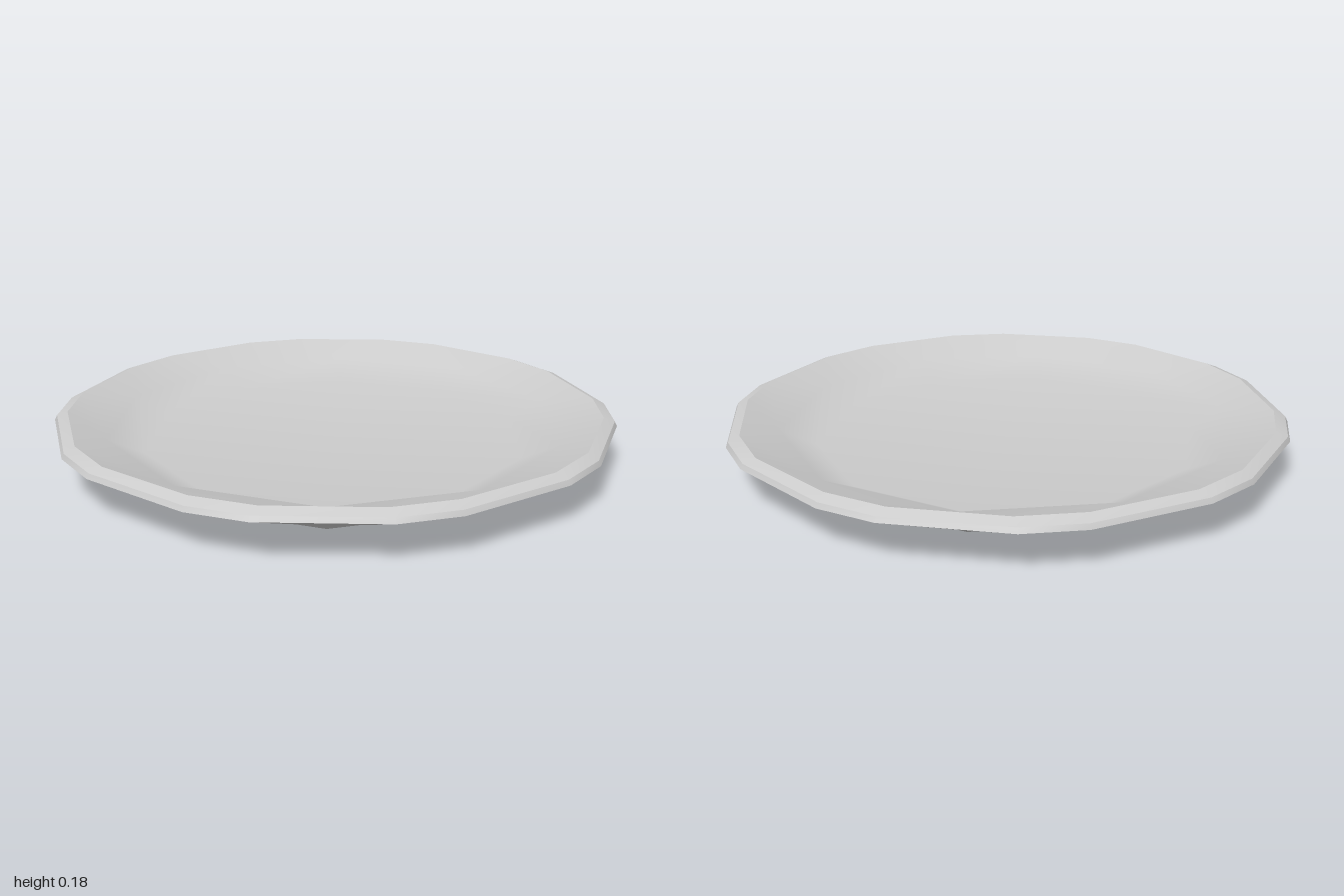
import * as THREE from 'three';
import { mergeVertices } from 'three/addons/utils/BufferGeometryUtils.js';

const SIDES = 10;

// Ring of corner pairs: spread 0 gives a decagon, a wider spread gives a decagon with cut corners
function ring({ r, y, spread }) {
  const points = [];
  for (let k = 0; k < SIDES; k++) {
    for (const s of [-1, 1]) {
      const a = THREE.MathUtils.degToRad(k * 36 + s * spread);
      points.push(new THREE.Vector3(r * Math.cos(a), y, -r * Math.sin(a)));
    }
  }
  return points;
}

// Skin a run of rings with smooth normals inside the run
function skin(profile) {
  const rings = profile.map(ring);
  const positions = [];
  const tri = (a, b, c) => {
    const area = b.clone().sub(a).cross(c.clone().sub(a)).length();
    if (area > 1e-7) for (const p of [a, b, c]) positions.push(p.x, p.y, p.z);
  };
  for (let j = 0; j < rings.length - 1; j++) {
    const a = rings[j], b = rings[j + 1];
    for (let i = 0; i < a.length; i++) {
      const n = (i + 1) % a.length;
      tri(a[i], a[n], b[n]);
      tri(a[i], b[n], b[i]);
    }
  }
  let geo = new THREE.BufferGeometry();
  geo.setAttribute('position', new THREE.Float32BufferAttribute(positions, 3));
  geo = mergeVertices(geo, 1e-5);
  geo.computeVertexNormals();
  return geo;
}

export function createModel() {
  const plate = new THREE.Group();
  plate.name = 'plate';
  const material = new THREE.MeshStandardMaterial({ color: 0xcccccc });

  const baseCentre = { r: 0, y: 0, spread: 0 };
  const baseEdge = { r: 0.7, y: 0, spread: 0 };
  const outerBend = { r: 0.842, y: 0.075, spread: 0 };
  const rimOuter = { r: 1.0055, y: 0.145, spread: 12 };
  const rimMiddle = { r: 0.997, y: 0.162, spread: 12 };
  const rimInner = { r: 0.957, y: 0.178, spread: 11.3 };
  const innerBend = { r: 0.82, y: 0.124, spread: 0 };
  const floorEdge = { r: 0.69, y: 0.061, spread: 0 };
  const floorCentre = { r: 0, y: 0.061, spread: 0 };

  const parts = {
    base: [baseCentre, baseEdge],
    outerWall: [baseEdge, outerBend, rimOuter],
    rimSide: [rimOuter, rimMiddle],
    rimTop: [rimMiddle, rimInner],
    innerDish: [rimInner, innerBend, floorEdge, floorCentre],
  };
  for (const [name, profile] of Object.entries(parts)) {
    const mesh = new THREE.Mesh(skin(profile), material);
    mesh.name = name;
    plate.add(mesh);
  }
  return plate;
}
